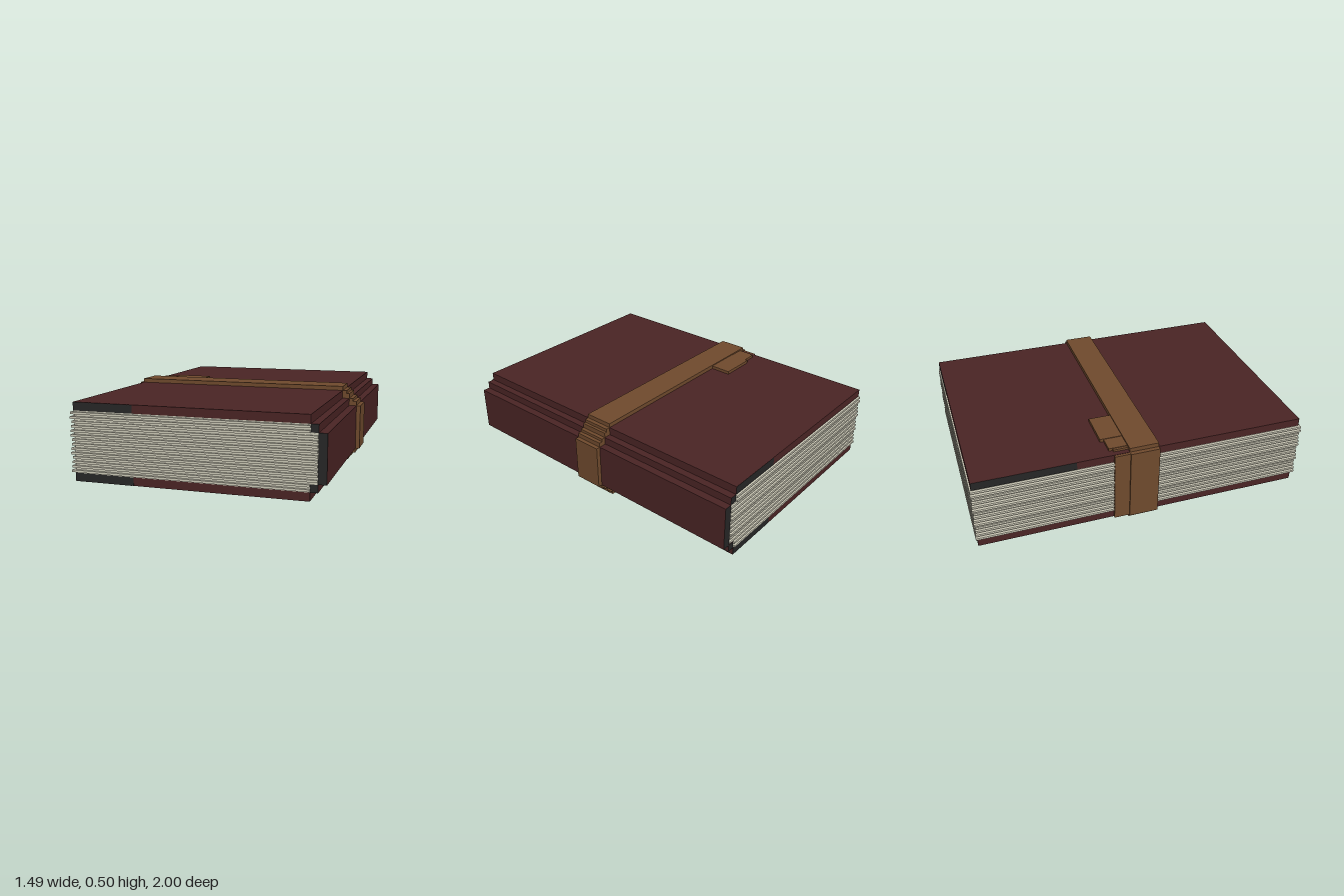
import * as THREE from 'three';

const mat = (name, color, side = THREE.FrontSide) => {
  const m = new THREE.MeshStandardMaterial({ color, side });
  m.name = name;
  return m;
};

export function createModel() {
  const maroon = mat('maroon leather', 0x4a2424);
  const dark = mat('worn black', 0x262626);
  const brown = mat('brown strap', 0x6f4a2d);
  const paper = mat('paper', 0xcbc8b6);
  const book = new THREE.Group();
  book.name = 'strappedBook';

  // Box given by its limits on each axis
  const box = (name, material, [x0, x1], [y0, y1], [z0, z1], parent = book) => {
    const mesh = new THREE.Mesh(new THREE.BoxGeometry(x1 - x0, y1 - y0, z1 - z0), material);
    mesh.position.set((x0 + x1) / 2, (y0 + y1) / 2, (z0 + z1) / 2);
    mesh.name = name;
    parent.add(mesh);
    return mesh;
  };
  const H = 0.502;
  const flip = ([a, b]) => [H - b, H - a];
  const Z = [-0.988, 0.982];
  const strapZ = [-0.093, 0.082];
  const blackEnds = [maroon, maroon, maroon, maroon, dark, dark];

  // Page block: core plus protruding sheets with slightly uneven edges
  const pages = new THREE.Group();
  pages.name = 'pages';
  book.add(pages);
  box('pageCore', paper, [-0.715, 0.67], [0.117, 0.385], [-0.982, 0.984], pages);
  box('pageCoreFull', paper, [-0.715, 0.63], [0.073, 0.429], [-0.982, 0.984], pages);
  const sheets = 14, pitch = 0.356 / sheets;
  for (let i = 0; i < sheets; i++) {
    const y = 0.073 + (i + 0.25) * pitch;
    const inner = y > 0.117 && y + pitch / 2 < 0.385;
    const j = ((i * 5) % 4) * 0.002;
    box('sheet', paper, [-0.733 + j, inner ? 0.67 : 0.63], [y, y + pitch / 2], [-0.998 + j, 1 - j], pages);
  }

  // Covers, hinge steps and the strap, built alike above and below
  for (const top of [true, false]) {
    const Y = (r) => (top ? r : flip(r));
    const side = top ? 'upper' : 'lower';
    box(side + 'Cover', maroon, [-0.72, 0.63], Y([0.429, 0.477]), Z);
    box(side + 'Hinge', blackEnds, [0.63, 0.672], Y([0.385, 0.429]), Z);
    // Worn patches on the cover edges
    box(side + 'FrontWear', dark, [-0.72, -0.36], Y([0.429, 0.4765]), [Z[1], Z[1] + 0.001]);
    box(side + 'BackWear', dark, [0.28, 0.63], Y([0.429, 0.4765]), [Z[0] - 0.001, Z[0]]);

    box(side + 'Strap', brown, [-0.72, 0.63], Y([0.477, H]), strapZ);
    const steps = [[0.63, 0.655, 0.429, 0.477], [0.655, 0.672, 0.429, 0.458],
      [0.672, 0.695, 0.385, 0.429], [0.695, 0.717, 0.385, 0.412]];
    for (const [x0, x1, y0, y1] of steps) box(side + 'StrapStep', brown, [x0, x1], Y([y0, y1]), strapZ);
  }
  box('foreEdgeWear', dark, [-0.721, -0.72], [0.429, 0.4765], [Z[0], -0.4]);

  // Spine
  box('spine', [maroon, maroon, maroon, dark, dark, dark], [0.67, 0.717], [0.117, 0.385], Z);
  box('spineStrap', brown, [0.717, 0.742], [0.117, 0.385], strapZ);

  // Strap over the page edge, with its loose second layer
  box('foreEdgeStrap', brown, [-0.745, -0.72], [0.025, 0.477], strapZ);
  box('foreEdgeStrapUnder', brown, [-0.737, -0.72], [0.027, 0.475], [-0.185, strapZ[0]]);

  // Stepped strap tail lying on the upper cover
  box('strapTail', brown, [-0.58, -0.36], [0.477, 0.496], [-0.225, strapZ[0]]);
  box('strapTail', brown, [-0.675, -0.58], [0.477, 0.493], [-0.203, strapZ[0]]);
  box('strapTail', brown, [-0.69, -0.675], [0.477, 0.49], [-0.18, strapZ[0]]);

  // Rounded dark corner on the underside of the lower cover
  const s = 0.345;
  const shape = new THREE.Shape();
  shape.moveTo(0, 0);
  shape.lineTo(s, 0);
  shape.absarc(s / 2, s / 2, s * Math.SQRT1_2, -Math.PI / 4, Math.PI * 0.75, false);
  shape.lineTo(0, 0);
  const patch = new THREE.Mesh(
    new THREE.ExtrudeGeometry(shape, { depth: 0.001, bevelEnabled: false, curveSegments: 16 }), dark);
  patch.rotation.x = -Math.PI / 2;
  patch.position.set(-0.72, 0.024, Z[1]);
  patch.name = 'cornerPatch';
  book.add(patch);

  return book;
}
